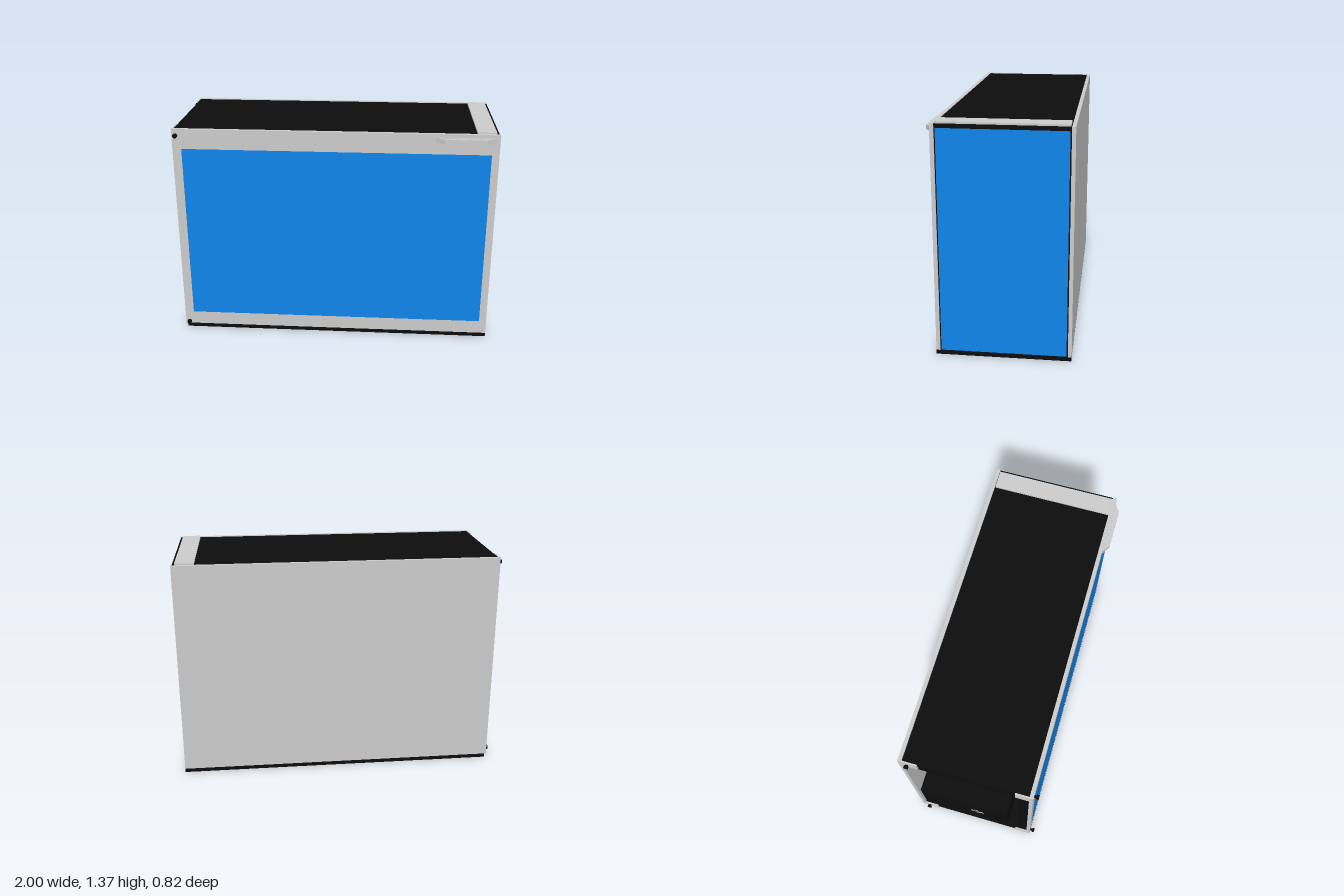
import * as THREE from 'three';

const grey = new THREE.MeshStandardMaterial({ color: 0xcccccc });
const black = new THREE.MeshStandardMaterial({ color: 0x0d0d0d });
const blue = new THREE.MeshStandardMaterial({ color: 0x0f86ea });

export function createModel() {
  const model = new THREE.Group();

  const add = (name, geometry, material, parent = model) => {
    const mesh = new THREE.Mesh(geometry, material);
    mesh.name = name;
    parent.add(mesh);
    return mesh;
  };
  // Box given by its lower and upper limits on each axis
  const box = (name, material, x0, x1, y0, y1, z0, z1, parent) => {
    const mesh = add(name, new THREE.BoxGeometry(x1 - x0, y1 - y0, z1 - z0), material, parent);
    mesh.position.set((x0 + x1) / 2, (y0 + y1) / 2, (z0 + z1) / 2);
    return mesh;
  };
  const rect = (path, x0, x1, y0, y1) =>
    path.moveTo(x0, y0).lineTo(x1, y0).lineTo(x1, y1).lineTo(x0, y1).closePath();

  // Floor, roof and solid side panel
  box('floor', black, -0.97, 1, 0, 0.025, -0.41, 0.375);
  box('roof', black, -0.97, 0.995, 1.34, 1.362, -0.388, 0.352);
  box('backPanel', grey, -0.98, 1, 0.025, 1.365, -0.412, -0.39);
  box('roofStrip', grey, 0.865, 0.98, 1.362, 1.373, -0.385, 0.352);

  // Door: frame with a window hole, and the pane that fills it
  const frame = new THREE.Shape();
  rect(frame, -0.98, 1, 0.025, 1.365);
  const hole = new THREE.Path();
  rect(hole, -0.925, 0.955, 0.11, 1.24);
  frame.holes.push(hole);
  const doorFrame = add('doorFrame',
    new THREE.ExtrudeGeometry(frame, { depth: 0.023, bevelEnabled: false }), grey);
  doorFrame.position.z = 0.352;
  box('doorWindow', blue, -0.925, 0.955, 0.11, 1.24, 0.354, 0.374);

  // Glazed end with thin dark edges
  box('endWindow', blue, 0.98, 0.995, 0.025, 1.34, -0.382, 0.346);
  box('endEdge', black, 0.97, 0.993, 0.025, 1.34, -0.39, -0.382);
  box('endEdge', black, 0.97, 0.993, 0.025, 1.34, 0.346, 0.352);

  // Open end: header, post and lip
  box('header', black, -0.97, -0.955, 1.24, 1.34, -0.39, 0.352);
  box('post', black, -0.97, -0.955, 0.025, 1.24, 0.29, 0.352);
  box('lip', black, -0.97, -0.955, 0.025, 0.07, -0.39, 0.352);

  // Corner tabs and thumb screws
  const screwProfile = [[0, 0], [0.008, 0], [0.008, 0.012], [0.014, 0.012], [0.014, 0.027], [0, 0.027]]
    .map(([r, y]) => new THREE.Vector2(r, y));
  for (const [y0, y1, ys] of [[1.275, 1.365, 1.328], [0.025, 0.075, 0.045]]) {
    box('backTab', grey, -0.98, -0.97, y0, y1, -0.39, -0.3);
    box('doorTab', grey, -0.98, -0.97, y0, y1, 0.27, 0.352);
    const endScrew = add('endScrew', new THREE.LatheGeometry(screwProfile, 16).toNonIndexed(), black);
    endScrew.position.set(-0.974, ys, -0.36);
    endScrew.rotation.z = Math.PI / 2;
    const doorScrew = add('doorScrew', new THREE.LatheGeometry(screwProfile, 16).toNonIndexed(), black);
    doorScrew.position.set(-0.953, ys, 0.375);
    doorScrew.rotation.x = Math.PI / 2;
  }

  // Door handle: a tapered loop seen from above, with a raised inner face
  const handle = new THREE.Group();
  handle.name = 'handle';
  handle.position.y = 1.345;
  model.add(handle);
  const trapezoid = (name, points, depth, y) => {
    const shape = new THREE.Shape(points.map(([x, z]) => new THREE.Vector2(x, z)));
    const mesh = add(name, new THREE.ExtrudeGeometry(shape, { depth, bevelEnabled: false }), grey, handle);
    mesh.rotation.x = Math.PI / 2;
    mesh.position.y = y;
  };
  trapezoid('handleGrip', [[0.62, 0.372], [0.97, 0.372], [0.92, 0.41], [0.67, 0.41]], 0.026, -0.004);
  trapezoid('handleRim', [[0.61, 0.372], [0.98, 0.372], [0.955, 0.386], [0.635, 0.386]], 0.034, 0);

  // Power unit with fan and grille facing the open end
  const power = new THREE.Group();
  power.name = 'powerUnit';
  model.add(power);
  box('powerCase', black, -0.965, -0.42, 0.03, 0.48, -0.385, 0.21, power);
  const fanY = 0.29, fanZ = 0;
  for (let i = 1; i <= 4; i++) {
    const ring = add('grilleRing', new THREE.TorusGeometry(0.04 * i + 0.01, 0.004, 6, 32), black, power);
    ring.rotation.y = Math.PI / 2;
    ring.position.set(-0.969, fanY, fanZ);
  }
  for (let i = 0; i < 2; i++) {
    const bar = box('grilleBar', black, -0.972, -0.966, fanY - 0.17, fanY + 0.17, fanZ - 0.004, fanZ + 0.004, power);
    bar.rotation.x = Math.PI / 4 + i * Math.PI / 2;
  }
  const hub = add('fanHub', new THREE.CylinderGeometry(0.05, 0.05, 0.008, 32), grey, power);
  hub.rotation.z = Math.PI / 2;
  hub.position.set(-0.967, fanY, fanZ);
  box('powerSocket', black, -0.973, -0.963, 0.36, 0.42, -0.35, -0.27, power);

  return model;
}
